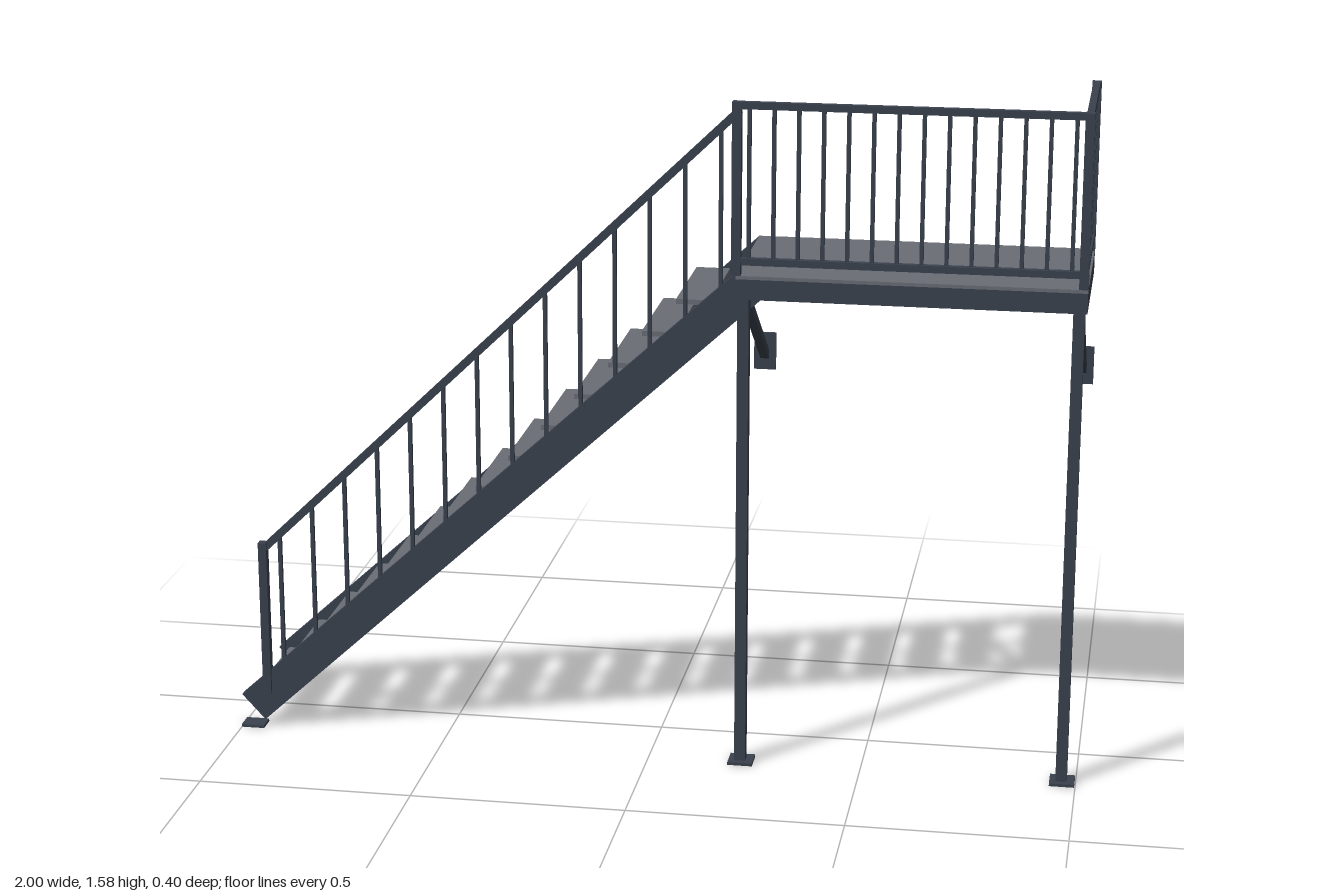
import * as THREE from 'three';

export function createModel() {
  const model = new THREE.Group();
  model.name = 'staircaseWithLanding';

  const steel = new THREE.MeshStandardMaterial({ color: 0x3a424e });
  steel.name = 'dark steel';
  const plate = new THREE.MeshStandardMaterial({ color: 0x6b6d76 });
  plate.name = 'grey plate';

  const group = (name) => {
    const g = new THREE.Group();
    g.name = name;
    model.add(g);
    return g;
  };

  // Box given by its limits on each axis
  function box(parent, name, [x0, x1], [y0, y1], [z0, z1], material = steel) {
    const mesh = new THREE.Mesh(new THREE.BoxGeometry(x1 - x0, y1 - y0, z1 - z0), material);
    mesh.position.set((x0 + x1) / 2, (y0 + y1) / 2, (z0 + z1) / 2);
    mesh.name = name;
    parent.add(mesh);
    return mesh;
  }

  // Square bar running between two points
  function bar(parent, name, a, b, width, depth = width) {
    const from = new THREE.Vector3(...a), to = new THREE.Vector3(...b);
    const mesh = new THREE.Mesh(new THREE.BoxGeometry(depth, width, from.distanceTo(to)), steel);
    mesh.position.copy(from).add(to).multiplyScalar(0.5);
    mesh.lookAt(to);
    mesh.name = name;
    parent.add(mesh);
    return mesh;
  }

  const around = (c, w) => [c - w / 2, c + w / 2];
  const frontZ = 0.143, backZ = -0.178;

  // Landing: perimeter beams under a thin deck plate
  const landing = group('landing');
  const frameY = [1.125, 1.172];
  box(landing, 'frontBeam', [0.2, 0.985], frameY, [0.17, 0.19]);
  box(landing, 'backBeam', [0.2, 0.985], frameY, [-0.198, -0.178]);
  box(landing, 'stairSideBeam', [0.2, 0.22], frameY, [-0.178, 0.17]);
  box(landing, 'endBeam', [0.965, 0.985], frameY, [-0.178, 0.17]);
  box(landing, 'deckPlate', [0.2, 0.985], [1.172, 1.18], [-0.198, 0.19], plate);

  // Legs with foot plates, and braces back to the wall plates
  const supports = group('supports');
  for (const x of [0.217, 0.967]) {
    box(supports, 'leg', around(x, 0.026), [0.006, 1.125], [0.161, 0.188]);
    box(supports, 'footPlate', around(x + 0.002, 0.058), [0, 0.007], [0.145, 0.202]);
    bar(supports, 'brace', [x, 1.112, 0.135], [x, 0.892, -0.192], 0.02);
    box(supports, 'wallPlate', around(x, 0.052), [0.855, 0.945], [-0.201, -0.193]);
  }

  // Stringers with square-cut ends
  const stairs = group('stairs');
  for (const z of [frontZ, backZ]) {
    bar(stairs, 'stringer', [-0.972, 0.049, z], [0.228, 1.15, z], 0.083, 0.02);
    box(stairs, 'stringerFootPlate', [-1, -0.945], [0, 0.007], around(z, 0.045));
  }

  // Treads
  for (let i = 0; i < 14; i++) {
    const x = -0.974 + i * 0.0792, y = 0.075 + i * 0.0788;
    box(stairs, 'tread', [x, x + 0.08], around(y, 0.012), [backZ + 0.01, frontZ - 0.01], plate);
  }

  // Sloping handrail along the front stringer
  const stairRail = group('stairRailing');
  const railStart = -0.935, railRun = 1.135, slope = 0.965;
  box(stairRail, 'bottomPost', around(railStart, 0.02), [0.085, 0.47], around(0.15, 0.02));
  bar(stairRail, 'handrail', [railStart, 0.452, 0.145], [0.2, 0.452 + railRun * slope, 0.145], 0.018);
  for (let i = 0; i < 14; i++) {
    const run = (i + 0.5) * railRun / 14, x = railStart + run;
    const foot = 0.06 + (x + 1) * 0.918;
    box(stairRail, 'baluster', around(x, 0.009), [foot, 0.452 + run * slope], around(0.145, 0.009));
  }

  // Landing railing on the front and the far end
  const rail = group('landingRailing');
  const x0 = 0.2, x1 = 0.975, z0 = 0.18, z1 = -0.188;
  for (const [x, z] of [[x0, z0], [x1, z0], [x1, z1]])
    box(rail, 'post', around(x, 0.021), [1.18, 1.575], around(z, 0.021));
  for (const [name, y] of [['topRail', 1.567], ['bottomRail', 1.212]]) {
    box(rail, name, [x0, x1], around(y, 0.016), around(z0, 0.016));
    box(rail, name, around(x1, 0.016), around(y, 0.016), [z1, z0]);
  }
  for (let i = 0; i < 14; i++)
    box(rail, 'baluster', around(x0 + (i + 0.5) * (x1 - x0) / 14, 0.009), [1.212, 1.567], around(z0, 0.009));
  for (let i = 0; i < 6; i++)
    box(rail, 'baluster', around(x1, 0.009), [1.212, 1.567], around(z0 + (i + 0.5) * (z1 - z0) / 6, 0.009));

  return model;
}
